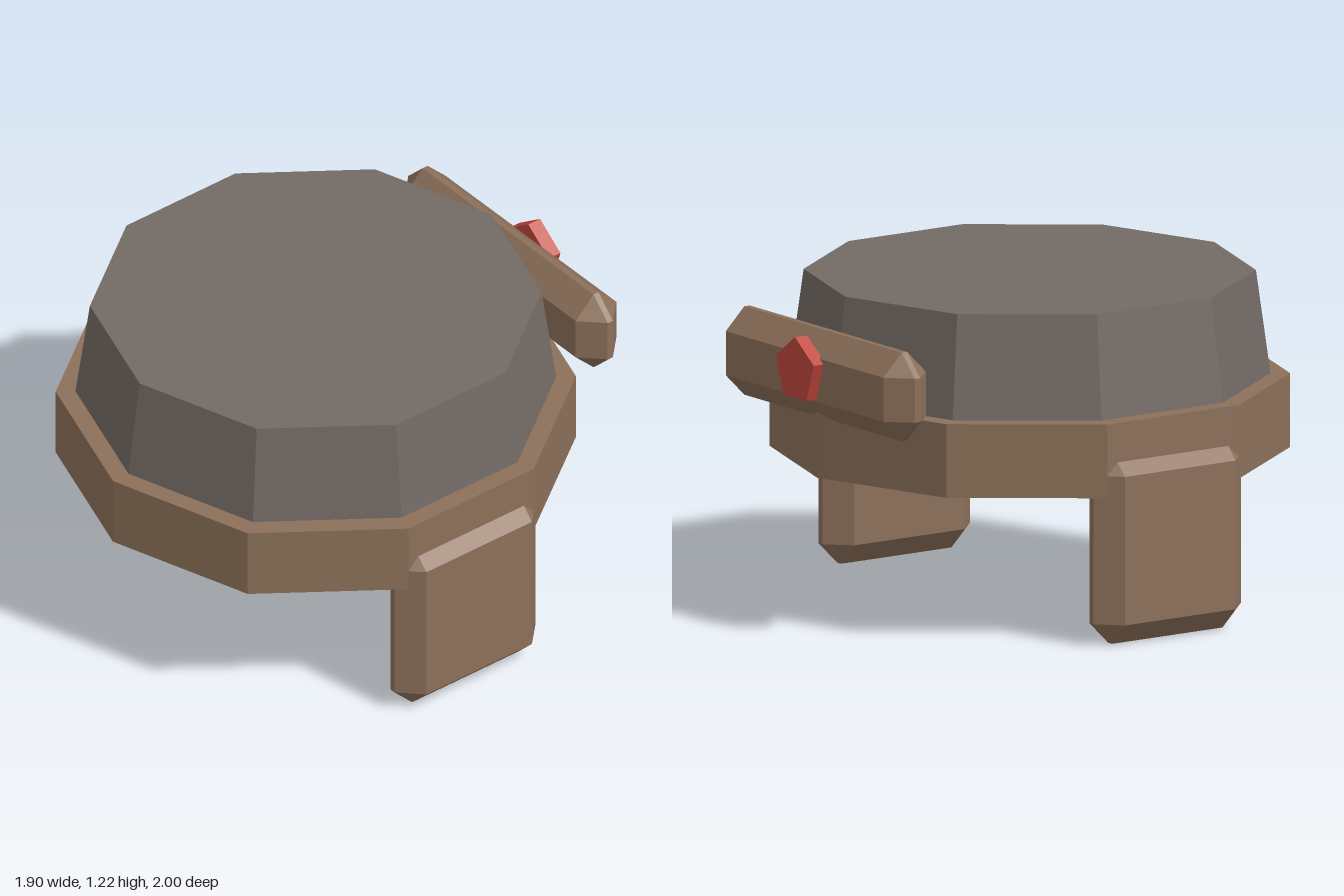
import * as THREE from 'three';
import { ConvexGeometry } from 'three/addons/geometries/ConvexGeometry.js';

// Box with every edge cut at 45 degrees and triangular corners
function chamferedBox(w, h, d, b) {
  const x = w / 2, y = h / 2, z = d / 2, points = [];
  for (const sx of [-1, 1]) for (const sy of [-1, 1]) for (const sz of [-1, 1]) {
    points.push(
      new THREE.Vector3(sx * x, sy * (y - b), sz * (z - b)),
      new THREE.Vector3(sx * (x - b), sy * y, sz * (z - b)),
      new THREE.Vector3(sx * (x - b), sy * (y - b), sz * z)
    );
  }
  return new ConvexGeometry(points);
}

export function createModel() {
  const group = new THREE.Group();
  const mat = (name, color) => {
    const m = new THREE.MeshStandardMaterial({ color, flatShading: true });
    m.name = name;
    return m;
  };
  const brown = mat('brown', 0x8c705a);
  const grey = mat('warm grey', 0x736a65);
  const red = mat('red', 0xbf463b);

  const add = (name, geometry, material, x, y, z) => {
    const mesh = new THREE.Mesh(geometry, material);
    mesh.name = name;
    mesh.position.set(x, y, z);
    group.add(mesh);
  };

  // Ten-sided rim and the tapered crown above it
  add('rim', new THREE.CylinderGeometry(0.95, 0.95, 0.275, 10), brown, 0, 0.6925, 0.05);
  add('crown', new THREE.CylinderGeometry(0.825, 0.878, 0.385, 10), grey, 0, 1.0225, 0.05);

  // Side flaps hanging from the rim
  const flap = chamferedBox(0.19, 0.72, 0.66, 0.083);
  add('leftFlap', flap, brown, 0.855, 0.36, 0.05);
  add('rightFlap', flap, brown, -0.855, 0.36, 0.05);

  // Rear bar with its five-sided badge
  add('rearBar', chamferedBox(1.16, 0.33, 0.19, 0.083), brown, 0, 0.94, -0.862);
  const badge = new THREE.CylinderGeometry(0.125, 0.125, 0.055, 5).rotateX(-Math.PI / 2);
  add('badge', badge, red, 0, 0.967, -0.9725);

  return group;
}
